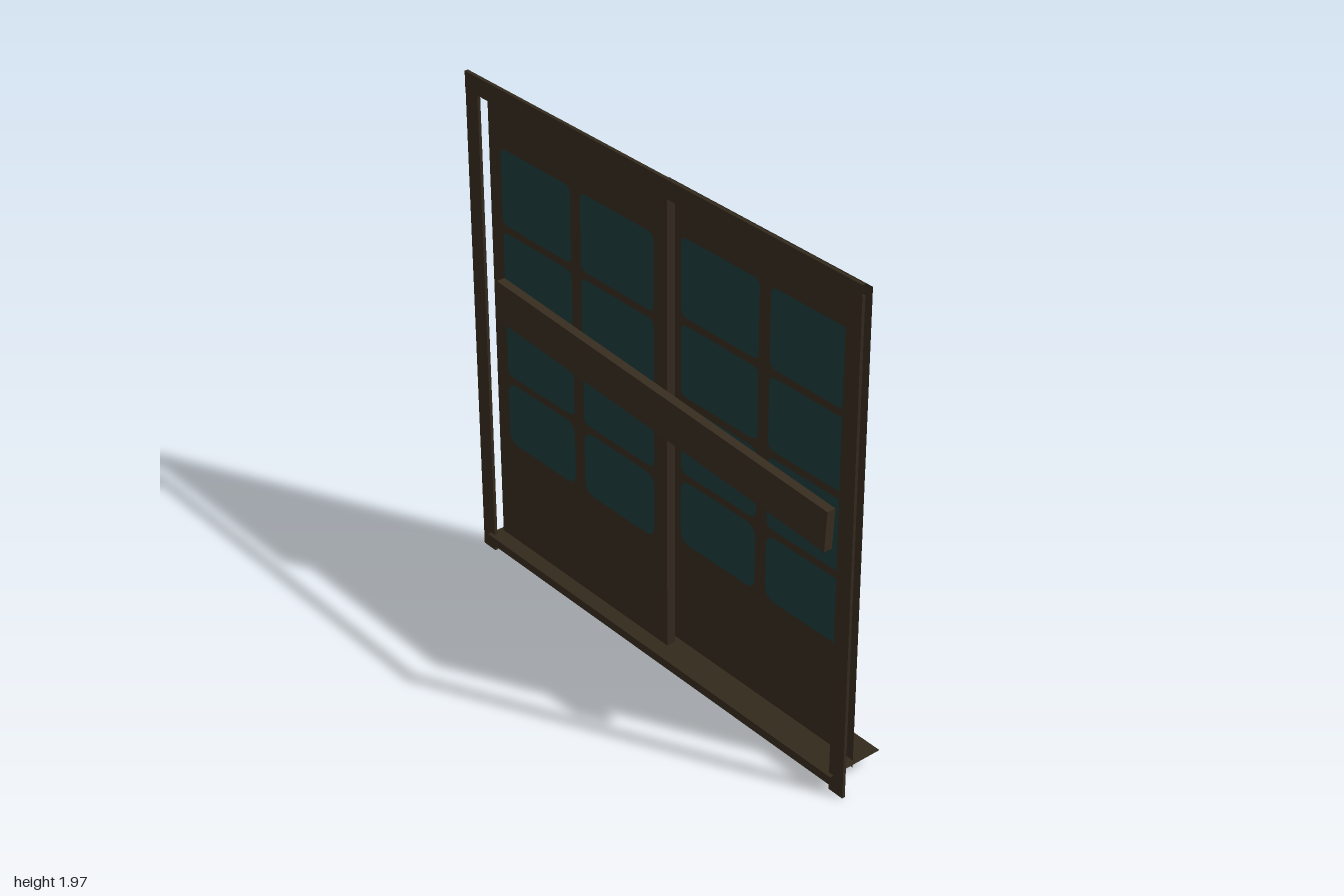
import * as THREE from 'three';

export function createModel() {
  const root = new THREE.Group();
  const mat = (name, color) => new THREE.MeshStandardMaterial({ name, color, side: THREE.DoubleSide });
  const wood = mat('dark wood', 0x33291d);
  const beamWood = mat('beam wood', 0x372c1f);
  const glass = mat('teal glass', 0x1b3838);

  const add = (parent, name, geometry, material, x, y, z) => {
    const mesh = new THREE.Mesh(geometry, material);
    mesh.name = name;
    mesh.position.set(x, y, z);
    parent.add(mesh);
    return mesh;
  };

  // Rounded pane outline
  const paneGeometry = (w, h, r) => {
    const s = new THREE.Shape();
    const a = w / 2, b = h / 2;
    s.moveTo(-a + r, -b);
    s.lineTo(a - r, -b);
    s.quadraticCurveTo(a, -b, a, -b + r);
    s.lineTo(a, b - r);
    s.quadraticCurveTo(a, b, a - r, b);
    s.lineTo(-a + r, b);
    s.quadraticCurveTo(-a, b, -a, b - r);
    s.lineTo(-a, -b + r);
    s.quadraticCurveTo(-a, -b, -a + r, -b);
    return new THREE.ShapeGeometry(s, 4);
  };

  // Door frame: two posts and a lintel whose ends are open
  for (const [name, side] of [['rightPost', -1], ['leftPost', 1]])
    add(root, name, new THREE.BoxGeometry(0.068, 1.93, 0.012), wood, side * 0.966, 0.965, 0.089);
  const lintel = new THREE.BoxGeometry(2, 0.07, 0.014);
  lintel.setIndex(Array.from(lintel.index.array).slice(12));
  add(root, 'lintel', lintel, wood, 0, 1.935, 0.089);

  // Two overlapping sheet doors, each with four rows of panes on both faces
  const rows = [[1.41, 1.71, 0.03], [1.1, 1.38, 0.03], [0.79, 1.07, 0.03], [0.5, 0.76, 0.05]];
  const addDoor = (name, x, z) => {
    const door = new THREE.Group();
    door.name = name;
    door.position.set(x, 0, z);
    root.add(door);
    add(door, 'doorSheet', new THREE.PlaneGeometry(0.968, 1.86), wood, 0, 0.97, 0);
    for (const [y0, y1, r] of rows) {
      const geometry = paneGeometry(0.39, y1 - y0, r);
      for (const dx of [-0.222, 0.222])
        for (const dz of [-0.0015, 0.0015])
          add(door, 'pane', geometry, glass, dx, (y0 + y1) / 2, dz);
    }
    return door;
  };
  addDoor('rearDoor', 0.453, -0.01);
  const frontDoor = addDoor('frontDoor', -0.453, 0.049);

  // Edge strips turned back from the sides of the front door
  for (const side of [-1, 1]) {
    const edge = add(frontDoor, 'doorEdge', new THREE.PlaneGeometry(0.035, 1.86), wood, side * 0.484, 0.97, -0.0175);
    edge.rotation.y = side * Math.PI / 2;
  }

  // Slanted beam barring the doors
  const beam = add(root, 'crossBeam', new THREE.BoxGeometry(1.745, 0.16, 0.035), beamWood, 0, 1.062, 0.0725);
  beam.rotation.z = -0.061;

  // Threshold: a thin sheet with a front lip
  const sheet = add(root, 'threshold', new THREE.PlaneGeometry(1.908, 0.23), wood, 0, 0.07, -0.003);
  sheet.rotation.x = -Math.PI / 2;
  add(root, 'thresholdLip', new THREE.PlaneGeometry(1.908, 0.034), wood, 0, 0.055, 0.112);

  return root;
}
